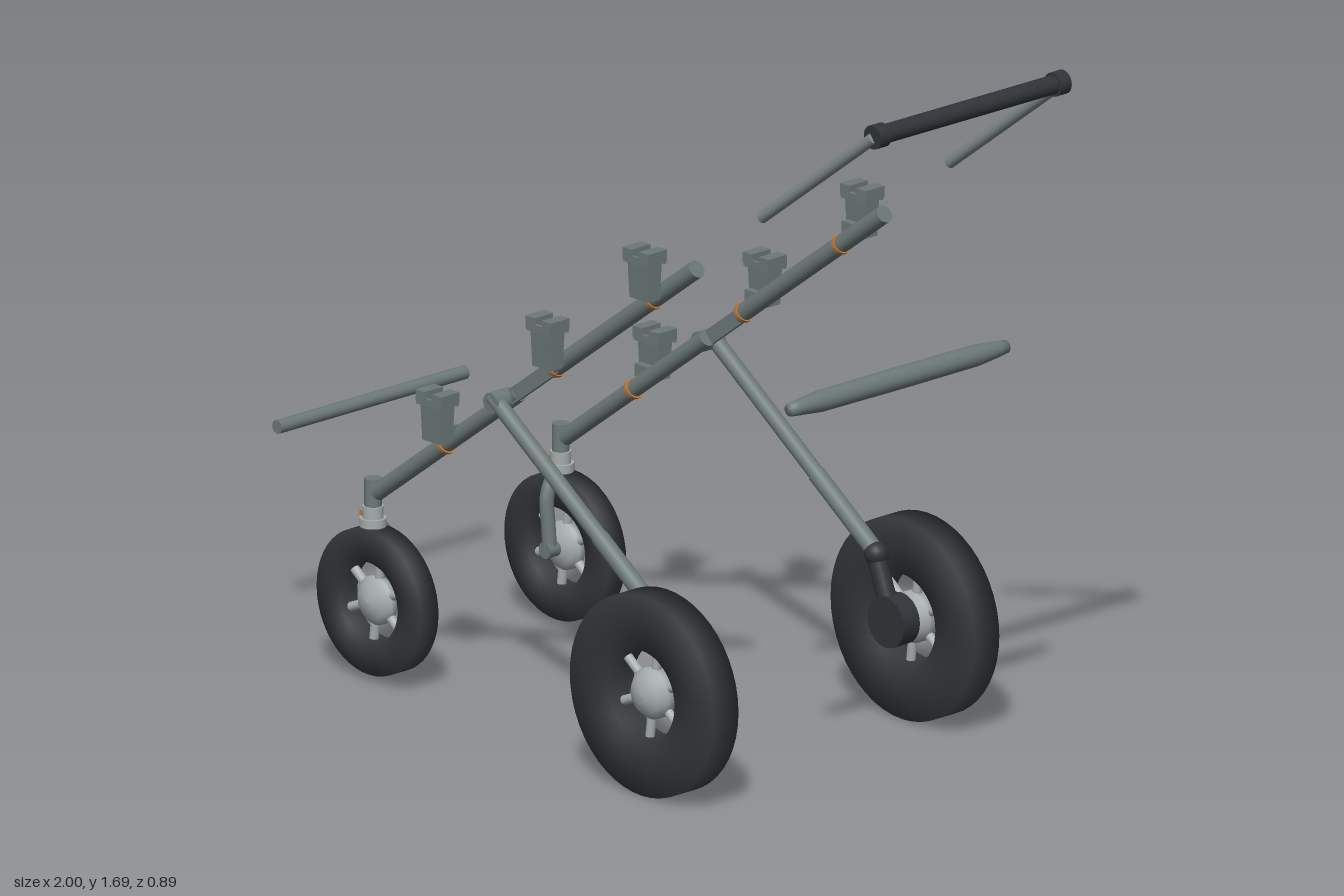
import * as THREE from 'three';

const mat = (name, color, side = THREE.FrontSide) =>
  Object.assign(new THREE.MeshStandardMaterial({ color, side }), { name });
const frameGrey = mat('frame grey', 0x6c7978);
const tubeGrey = mat('handle grey', 0x7f8a89);
const hubGrey = mat('hub grey', 0xa6adad);
const rubber = mat('rubber', 0x34373a);
const gripDark = mat('grip dark', 0x303438);
const orange = mat('orange', 0xc4762e);

const V = (x, y, z) => new THREE.Vector3(x, y, z);

function add(parent, name, geometry, material, x = 0, y = 0, z = 0) {
  const m = new THREE.Mesh(geometry, material);
  m.name = name;
  m.position.set(x, y, z);
  parent.add(m);
  return m;
}

// Round bar between two points
function rod(parent, name, a, b, r, material, r2 = r) {
  const d = b.clone().sub(a);
  const m = add(parent, name, new THREE.CylinderGeometry(r2, r, d.length(), 20), material);
  m.position.copy(a).addScaledVector(d, 0.5);
  m.quaternion.setFromUnitVectors(V(0, 1, 0), d.normalize());
  return m;
}

// Solid of revolution about the z axis; profile points are [radius, offset]
function turned(parent, name, profile, material, x = 0, y = 0, z = 0, seg = 48) {
  const geo = new THREE.LatheGeometry(profile.map(p => new THREE.Vector2(...p)), seg);
  geo.rotateX(Math.PI / 2);
  return add(parent, name, geo, material, x, y, z);
}

// Wheel with square tyre, rim, six spokes and a domed hub
function wheel(parent, name, x, y, z, R, inner, half, hubR) {
  const g = new THREE.Group();
  g.name = name;
  g.position.set(x, y, z);
  parent.add(g);
  turned(g, 'tyre', [[inner, -half], [R, -half], [R, half], [inner, half], [inner, -half]], rubber);
  const h = half * 0.8;
  turned(g, 'hub', [[0, -h - 0.01], [hubR * 0.6, -h], [hubR, -h * 0.4], [hubR, h * 0.4],
    [hubR * 0.75, h], [hubR * 0.3, h + 0.01], [0, h + 0.012]], hubGrey, 0, 0, 0, 28);
  for (let i = 0; i < 6; i++) {
    const a = i * Math.PI / 3 + 0.4, c = Math.cos(a), s = Math.sin(a);
    rod(g, 'spoke', V(c * hubR * 0.8, s * hubR * 0.8, 0), V(c * (inner + 0.01), s * (inner + 0.01), 0), 0.011, hubGrey);
  }
}

// Notched clip with a tapered body and a pronged top
function clip(parent, x, y, s) {
  const g = new THREE.Group();
  g.name = 'clip';
  g.position.set(x, y, s * 0.336);
  parent.add(g);
  const body = new THREE.BoxGeometry(0.06, 0.095, 0.05);
  const p = body.attributes.position;
  for (let i = 0; i < p.count; i++) if (p.getY(i) < 0) p.setZ(i, p.getZ(i) * 0.75);
  body.computeVertexNormals();
  add(g, 'clipBody', body, frameGrey, 0, 0.0475, 0);
  for (const e of [-1, 1]) {
    add(g, 'clipProng', new THREE.BoxGeometry(0.03, 0.026, 0.058), frameGrey, e * 0.027, 0.105, 0);
    add(g, 'clipWall', new THREE.BoxGeometry(0.08, 0.018, 0.008), frameGrey, 0, 0.094, e * 0.025);
  }
  add(g, 'clipLug', new THREE.BoxGeometry(0.05, 0.03, 0.03), frameGrey, 0, 0.02, -s * 0.025);
}

// Everything on one side; s is the sign of z
function buildSide(s) {
  const g = new THREE.Group();
  g.name = s > 0 ? 'frontSide' : 'backSide';
  const z = s * 0.29;
  const along = x => 0.445 + (x + 0.655) * 0.742;

  // Sloping rail in two lengths, joined by a flat link
  rod(g, 'lowerRail', V(-0.655, along(-0.655), z), V(-0.19, along(-0.19), z), 0.02, frameGrey);
  rod(g, 'upperRail', V(-0.08, along(-0.08), z), V(0.39, along(0.39), z), 0.021, frameGrey);
  const link = add(g, 'railLink', new THREE.BoxGeometry(0.19, 0.034, 0.012), frameGrey, -0.135, along(-0.135), s * 0.3);
  link.rotation.z = Math.atan(0.742);

  // Clips with orange bands
  for (const [x, y] of [[-0.41, 0.635], [-0.05, 0.895], [0.268, 1.133]]) {
    clip(g, x, y, s);
    const bx = x - 0.02;
    const d = V(1, 0.742, 0).normalize().multiplyScalar(0.004);
    const c = V(bx, along(bx), z);
    rod(g, 'clipBand', c.clone().sub(d), c.clone().add(d), 0.024, orange);
  }

  // Rear leg with sleeve, pivot and hub bracket
  const lz = s * 0.335;
  rod(g, 'rearLeg', V(-0.23, 0.782, lz), V(0.13, 0.525, lz), 0.019, frameGrey);
  rod(g, 'legSleeve', V(0.12, 0.532, lz), V(0.32, 0.389, lz), 0.021, frameGrey);
  rod(g, 'legPivot', V(-0.22, 0.772, z), V(-0.22, 0.772, s * 0.352), 0.024, frameGrey);
  rod(g, 'hubBracket', V(0.31, 0.396, lz), V(0.37, 0.245, lz), 0.022, gripDark);
  add(g, 'bracketPin', new THREE.SphereGeometry(0.028, 16, 12), gripDark, 0.315, 0.39, lz);
  rod(g, 'brakeDrum', V(0.37, 0.245, s * 0.312), V(0.37, 0.245, s * 0.362), 0.06, gripDark);
  rod(g, 'rearAxle', V(0.37, 0.245, s * 0.34), V(0.37, 0.245, s * 0.4), 0.02, frameGrey);
  if (s > 0) add(g, 'brakePedal', new THREE.BoxGeometry(0.08, 0.03, 0.02), frameGrey, 0.42, 0.27, 0.335);
  wheel(g, 'rearWheel', 0.37, 0.24, s * 0.403, 0.236, 0.107, 0.038, 0.06);

  // Front swivel stem with collars
  rod(g, 'stem', V(-0.67, 0.4, z), V(-0.67, 0.475, z), 0.02, frameGrey);
  rod(g, 'collar', V(-0.67, 0.362, z), V(-0.67, 0.382, z), 0.031, hubGrey);
  rod(g, 'collarNeck', V(-0.67, 0.34, z), V(-0.67, 0.41, z), 0.024, hubGrey);
  add(g, 'stemButton', new THREE.BoxGeometry(0.008, 0.012, 0.024), orange, -0.697, 0.388, z);

  // One-armed fork on the inner face of the wheel
  const bend = new THREE.CatmullRomCurve3([V(-0.668, 0.365, z), V(-0.667, 0.35, s * 0.262),
    V(-0.665, 0.31, s * 0.243), V(-0.66, 0.25, s * 0.242), V(-0.655, 0.195, s * 0.242)]);
  add(g, 'forkArm', new THREE.TubeGeometry(bend, 24, 0.017, 12), frameGrey);
  rod(g, 'frontAxle', V(-0.655, 0.19, s * 0.226), V(-0.655, 0.19, s * 0.3), 0.019, frameGrey);
  wheel(g, 'frontWheel', -0.655, 0.19, z, 0.171, 0.094, 0.027, 0.057);

  // Handle side tube
  rod(g, 'handleTube', V(0.603, 1.393, z), V(0.97, 1.668, z), 0.014, tubeGrey);
  rod(g, 'gripCap', V(0.97, 1.67, s * 0.262), V(0.97, 1.67, s * 0.295), 0.028, gripDark);
  return g;
}

export function createModel() {
  const model = new THREE.Group();
  model.name = 'strollerFrame';
  model.add(buildSide(1), buildSide(-1));

  // Cross members
  rod(model, 'handleGrip', V(0.97, 1.67, -0.28), V(0.97, 1.67, 0.28), 0.022, gripDark);
  rod(model, 'frontCrossbar', V(-0.984, 0.52, -0.29), V(-0.984, 0.52, 0.29), 0.016, frameGrey);
  turned(model, 'bumperBar', [[0, -0.337], [0.015, -0.335], [0.018, -0.31], [0.025, -0.24], [0.026, 0],
    [0.025, 0.24], [0.018, 0.31], [0.015, 0.335], [0, 0.337]], frameGrey, 0.74, 0.98, 0, 24);
  return model;
}
